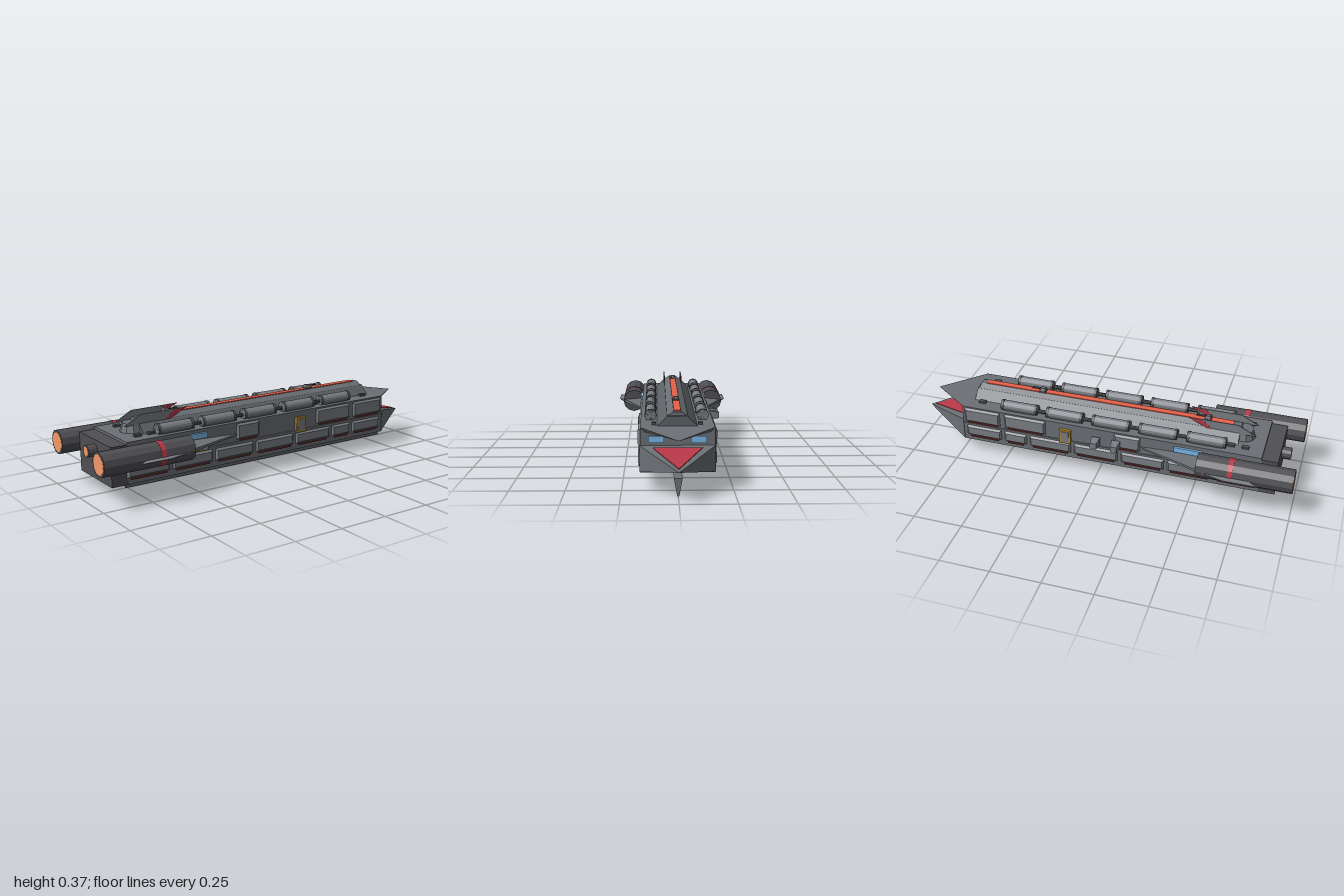
import * as THREE from 'three';
import { ConvexGeometry } from 'three/addons/geometries/ConvexGeometry.js';

const mat = (color) => new THREE.MeshStandardMaterial({ color, flatShading: true });
const M = {
  hull: mat(0x6c7075), plate: mat(0x7a7e84), dark: mat(0x505054), deck: mat(0x5c6266),
  orange: mat(0xf59a68), strip: mat(0xe8604a), red: mat(0xb83848), rust: mat(0x6a3230),
  blue: mat(0x7cb8ea), gold: mat(0xb08a2a),
};

export function createModel() {
  const root = new THREE.Group();
  const add = (name, geo, m) => {
    const mesh = new THREE.Mesh(geo, m);
    mesh.name = name;
    root.add(mesh);
    return mesh;
  };
  // Box from its limits on each axis
  const box = (name, m, x0, x1, y0, y1, z0, z1) => {
    const b = add(name, new THREE.BoxGeometry(Math.abs(x1 - x0), y1 - y0, z1 - z0), m);
    b.position.set((x0 + x1) / 2, (y0 + y1) / 2, (z0 + z1) / 2);
    return b;
  };
  // Faceted solid spanning a few corner points
  const solid = (name, m, pts) => add(name, new ConvexGeometry(pts.map((p) => new THREE.Vector3(...p))), m);
  // Profile in x/y run along z
  const run = (name, m, pts, z0, z1) => {
    const g = new THREE.ExtrudeGeometry(new THREE.Shape(pts.map((p) => new THREE.Vector2(...p))),
      { depth: z1 - z0, bevelEnabled: false });
    return add(name, g.translate(0, 0, z0), m);
  };
  // Cylinder lying along z
  const tube = (name, m, x, y, r, z0, z1, sides = 12, r2 = r) => {
    const g = new THREE.CylinderGeometry(r2, r, z1 - z0, sides);
    const t = add(name, g.rotateX(Math.PI / 2), m);
    t.position.set(x, y, (z0 + z1) / 2);
    return t;
  };
  // Bevelled panel on a hull side
  const panel = (name, m, s, y0, y1, z0, z1, x0 = 0.164, x1 = 0.177, b = 0.012) => solid(name, m, [
    [s * x0, y0, z0], [s * x0, y1, z0], [s * x0, y0, z1], [s * x0, y1, z1],
    [s * x1, y0 + b, z0 + b], [s * x1, y1 - b, z0 + b], [s * x1, y0 + b, z1 - b], [s * x1, y1 - b, z1 - b],
  ]);

  // Main body and stern block
  box('hull', M.hull, -0.167, 0.167, 0.078, 0.28, -0.73, 0.83);
  box('sternBlock', M.dark, -0.162, 0.162, 0.075, 0.268, 0.8, 0.91);

  // Bow: upper beak over a pointed lower jaw
  solid('upperBeak', M.hull, [[-0.165, 0.28, -0.73], [0.165, 0.28, -0.73],
    [-0.15, 0.262, -0.73], [0.15, 0.262, -0.73], [0, 0.258, -0.94]]);
  solid('lowerJaw', M.hull, [[-0.17, 0.2, -0.73], [0.17, 0.2, -0.73],
    [-0.17, 0.08, -0.73], [0.17, 0.08, -0.73], [0, 0.135, -1]]);
  solid('jawInlay', M.red, [[-0.11, 0.196, -0.76], [0.11, 0.196, -0.76],
    [-0.11, 0.18, -0.76], [0.11, 0.18, -0.76], [0, 0.146, -0.97], [0, 0.136, -0.97]]);

  // Raised spine deck with its glowing strip
  run('spineDeck', M.deck, [[-0.092, 0.278], [0.092, 0.278], [0.046, 0.325], [-0.046, 0.325]], -0.69, 0.7);
  run('spineRidge', M.hull, [[-0.046, 0.324], [0.046, 0.324], [0.018, 0.342], [-0.018, 0.342]], -0.68, 0.7);
  box('spineStrip', M.strip, -0.016, 0.016, 0.335, 0.346, -0.65, 0.66);
  box('sternRib', M.dark, -0.005, 0.005, 0.278, 0.325, 0.69, 0.706);
  const apron = add('sternApron', new THREE.CylinderGeometry(0.046, 0.06, 0.045, 10), M.hull);
  apron.position.set(0, 0.3, 0.715);
  for (const z of [-0.34, 0.53]) {
    box('turretBase', M.dark, -0.018, 0.018, 0.335, 0.35, z - 0.018, z + 0.018);
    solid('turret', M.hull, [-1, 1].flatMap((s) => [[s * 0.017, 0.348, z - 0.016], [s * 0.017, 0.348, z + 0.016],
      [s * 0.01, 0.364, z - 0.01], [s * 0.01, 0.364, z + 0.01]]));
    for (const x of [-0.006, 0.006]) tube('turretBarrel', M.dark, x, 0.357, 0.002, z - 0.06, z, 6);
  }

  // Keel blade
  run('keel', M.hull, [[-0.005, 0.002], [-0.002, 0], [0.002, 0], [0.005, 0.002], [0.019, 0.08], [-0.019, 0.08]], -0.86, 0.76);

  // Centre nozzle
  tube('centreNozzle', M.dark, 0, 0.218, 0.03, 0.9, 0.955);
  tube('centreGlow', M.orange, 0, 0.218, 0.024, 0.94, 0.957);

  const bounds = [0.84, 0.6, 0.36, 0.12, -0.13, -0.37, -0.51, -0.72];
  for (const s of [-1, 1]) {
    // Bow windows
    box('bowWindow', M.blue, s * 0.06, s * 0.13, 0.212, 0.242, -0.736, -0.728);

    // Side panelling, two rows
    for (let i = 0; i < bounds.length - 1; i++) {
      const z1 = bounds[i] - 0.006, z0 = bounds[i + 1] + 0.006;
      panel('lowerPanel', M.plate, s, 0.105, 0.17, z0, z1);
      box('panelTrim', M.rust, s * 0.16, s * 0.174, 0.1, 0.108, z0 + 0.02, z1 - 0.02);
    }
    for (const [z0, z1] of [[0.09, 0.23], [-0.5, -0.27], [-0.72, -0.52]]) {
      panel('upperPanel', M.plate, s, 0.19, 0.275, z0, z1);
      box('panelTrim', M.rust, s * 0.16, s * 0.174, 0.185, 0.193, z0 + 0.02, z1 - 0.02);
    }
    box('sideRail', M.hull, s * 0.16, s * 0.172, 0.172, 0.182, -0.73, 0.83);

    // Gold framed side hatch
    box('hatchFrame', M.gold, s * 0.16, s * 0.181, 0.17, 0.25, -0.195, -0.135);
    box('hatchDoor', M.plate, s * 0.16, s * 0.184, 0.18, 0.24, -0.185, -0.145);

    // Row of tanks along the top
    for (let i = 0; i < 5; i++) {
      const z = -0.425 + i * 0.244;
      tube('tank', M.plate, s * 0.121, 0.302, 0.026, z - 0.097, z + 0.097, 16);
      for (const e of [-1, 1]) {
        tube('tankCap', M.dark, s * 0.121, 0.302, 0.028, z + e * 0.09 - 0.007, z + e * 0.09 + 0.007, 16);
      }
      box('tankCradle', M.dark, s * 0.1, s * 0.142, 0.275, 0.29, z - 0.08, z + 0.08);
    }
    tube('tankPipe', M.dark, s * 0.121, 0.298, 0.009, -0.45, 0.6, 8);

    // Main engine
    tube('engine', M.dark, s * 0.22, 0.218, 0.06, 0.53, 1);
    tube('engineBand', M.red, s * 0.22, 0.218, 0.0615, 0.685, 0.71);
    tube('engineGlow', M.orange, s * 0.22, 0.218, 0.049, 0.98, 1.001);
    box('enginePylon', M.hull, s * 0.15, s * 0.2, 0.19, 0.245, 0.53, 0.82);

    // Strake ahead of the engine, intake lights, outer fin
    solid('strake', M.hull, [[s * 0.16, 0.222, 0.2], [s * 0.16, 0.214, 0.2],
      [s * 0.16, 0.235, 0.54], [s * 0.16, 0.203, 0.54], [s * 0.275, 0.225, 0.54], [s * 0.275, 0.21, 0.54]]);
    box('upperIntakeLight', M.blue, s * 0.16, s * 0.179, 0.235, 0.262, 0.4, 0.54);
    box('lowerIntakeLight', M.blue, s * 0.16, s * 0.179, 0.18, 0.205, 0.4, 0.54);
    box('intakeSill', M.gold, s * 0.16, s * 0.18, 0.173, 0.18, 0.4, 0.54);
    solid('outerFin', M.plate, [0, 1].flatMap((t) => [[s * 0.27, 0.209 + t * 0.008, 0.53],
      [s * 0.305, 0.208 + t * 0.004, 0.67], [s * 0.305, 0.208 + t * 0.004, 0.835],
      [s * 0.27, 0.209 + t * 0.008, 0.78]]));

    // Tail fin with red leading tip
    const fin = (name, m, pts, w) => solid(name, m, [-w, w].flatMap((d) => pts.map(([z, y]) => [s * 0.047 + d, y, z])));
    fin('tailFin', M.plate, [[0.78, 0.318], [0.69, 0.366], [0.44, 0.366], [0.54, 0.318]], 0.0025);
    fin('tailFinTip', M.red, [[0.51, 0.362], [0.436, 0.367], [0.535, 0.322], [0.56, 0.322]], 0.0032);

    // Belly bays with gold frames
    for (const z of [0.68, 0.435, 0.19]) {
      box('bayFrame', M.gold, s * 0.04, s * 0.12, 0.072, 0.08, z - 0.085, z + 0.085);
      const g = [0.05, 0.11].flatMap((x) => [-0.075, 0.075].map((d) => [s * x, 0.074, z + d]));
      const h = [0.065, 0.095].flatMap((x) => [-0.06, 0.06].map((d) => [s * x, 0.059, z + d]));
      solid('bayHousing', M.plate, [...g, ...h]);
      box('bayDoor', M.dark, s * 0.07, s * 0.09, 0.057, 0.062, z - 0.05, z + 0.05);
    }

    // Small deck fittings
    for (const z of [-0.64, -0.3, 0.67, 0.74]) {
      box('deckFitting', M.dark, s * 0.095, s * 0.115, 0.278, 0.29, z - 0.018, z + 0.018);
    }
  }

  // Docking blocks on one side only
  for (const z of [0, 0.105]) {
    box('dockArm', M.dark, -0.19, -0.16, 0.21, 0.23, z - 0.01, z + 0.01);
    panel('dockBlock', M.plate, -1, 0.198, 0.242, z - 0.022, z + 0.022, 0.18, 0.23, 0.006);
  }
  return root;
}
